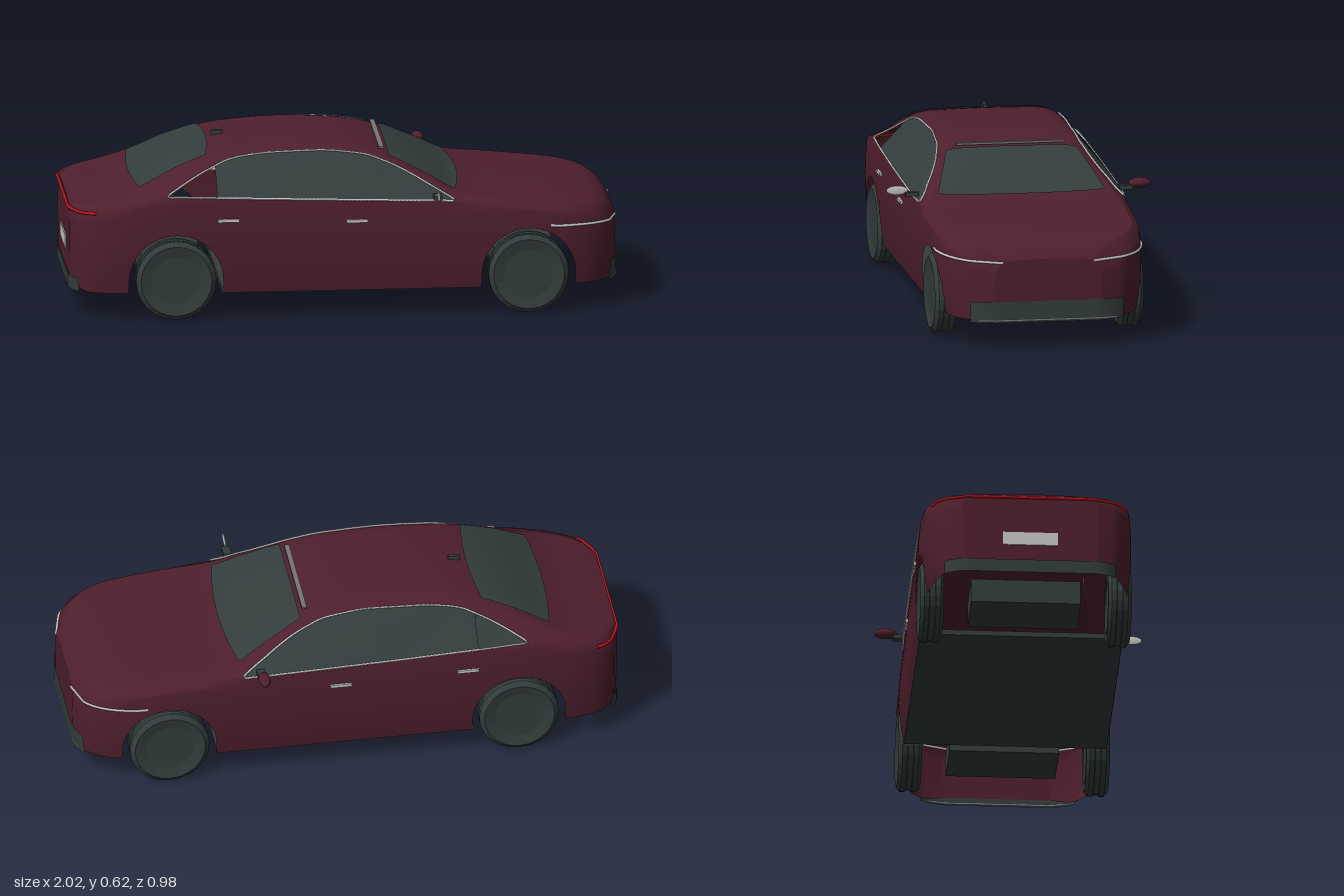
import * as THREE from 'three';

const mat = (name, color) => {
  const m = new THREE.MeshStandardMaterial({ color, side: THREE.DoubleSide });
  m.name = name;
  return m;
};
const V = (x, y, z) => new THREE.Vector3(x, y, z);
const lerp = THREE.MathUtils.lerp, clamp = THREE.MathUtils.clamp;

// Smooth curve through [x, value] keys, flat beyond the ends
function curve(keys) {
  const slope = (i) => {
    if (i === 0 || i === keys.length - 1) return null;
    const [a, b, c] = [keys[i - 1], keys[i], keys[i + 1]];
    const s = (b[1] - a[1]) / (b[0] - a[0]), t = (c[1] - b[1]) / (c[0] - b[0]);
    return s * t <= 0 ? 0 : (2 * s * t) / (s + t);
  };
  return (x) => {
    if (x <= keys[0][0]) return keys[0][1];
    if (x >= keys.at(-1)[0]) return keys.at(-1)[1];
    const i = keys.findIndex((k) => k[0] > x) - 1;
    const [x0, y0] = keys[i], [x1, y1] = keys[i + 1], h = x1 - x0, t = (x - x0) / h;
    const d = (y1 - y0) / h, m0 = slope(i) ?? d, m1 = slope(i + 1) ?? d;
    return y0 + h * (t * d + t * (1 - t) * ((1 - t) * (m0 - d) - t * (m1 - d)));
  };
}

// Body outlines along the length of the car
const halfWidth = curve([[-1, .25], [-.985, .3], [-.95, .338], [-.9, .362], [-.8, .382], [-.6, .39], [.4, .39], [.7, .388], [.8, .378], [.87, .36], [.92, .335], [.96, .3], [.985, .26], [1, .2]]);
const top = curve([[-1, .415], [-.95, .428], [-.85, .445], [-.77, .47], [-.6, .553], [-.5, .588], [-.4, .607], [-.2, .62], [0, .61], [.15, .58], [.3, .512], [.42, .452], [.6, .432], [.8, .412], [.9, .398], [.95, .38], [.98, .355], [1, .325]]);
const shoulder = curve([[-1, .385], [-.95, .402], [-.8, .432], [-.65, .453], [-.3, .448], [.15, .438], [.42, .422], [.6, .4], [.8, .38], [.95, .34], [1, .28]]);
const roofWidth = curve([[-1, .22], [-.95, .29], [-.8, .32], [-.65, .29], [-.5, .272], [-.3, .268], [.15, .278], [.42, .34], [.6, .35], [.8, .34], [.9, .3], [1, .17]]);
const base = curve([[-1, .14], [-.97, .112], [-.93, .1], [.97, .1], [1, .12]]);
const winLow = curve([[-.65, .461], [.4, .427]]);
const winHigh = curve([[-.65, .464], [-.5, .54], [-.4, .578], [-.25, .594], [-.1, .597], [.06, .583], [.16, .552], [.4, .43]]);
const AXLES = [-.62, .67], ARCH = .172, WHEEL_Y = .147;

// Half cross-section at x as [y, z], from the sill up to the centre line
function section(x) {
  const W = halfWidth(x), T = top(x), S = shoulder(x), R = roofWidth(x), B = base(x);
  let low = B;
  for (const c of AXLES) {
    const d = Math.abs(x - c);
    if (d <= ARCH + 1e-6) low = WHEEL_Y + Math.sqrt(Math.max(0, ARCH * ARCH - d * d));
  }
  const pts = [];
  for (let i = 0; i <= 8; i++) {
    const y = lerp(low, S, i / 8), t = (y - B) / (S - B);
    pts.push([y, W * (1 - .05 * (1 - t) ** 3 - .025 * t ** 4)]);
  }
  const z0 = W * .975, y1 = S + .78 * (T - S);
  const f0 = clamp((winLow(x) - S) / (y1 - S), .03, .85);
  const f1 = clamp((winHigh(x) - S) / (y1 - S), f0 + .02, .97);
  for (const f of [f0, f1, 1]) pts.push([lerp(S, y1, f), lerp(z0, R, f)]);
  const yc = T - .005, zc = R - .022, zr = R * .68;
  for (let i = 1; i <= 6; i++) {
    const t = i / 6, a = (1 - t) ** 2, b = 2 * t * (1 - t), c = t * t;
    pts.push([a * y1 + b * yc + c * (T - .003), a * R + b * zc + c * zr]);
  }
  for (let i = 1; i <= 4; i++) pts.push([T - .003 * (1 - i / 4) ** 2, zr * (1 - i / 4)]);
  return pts;
}
// Surface look-ups
function sideZ(x, y) {
  const p = section(x);
  if (y <= p[0][0]) return p[0][1];
  const i = p.findIndex((q) => q[0] >= y);
  if (i < 0) return 0;
  return lerp(p[i - 1][1], p[i][1], (y - p[i - 1][0]) / (p[i][0] - p[i - 1][0]));
}
function topY(x, z) {
  const p = section(x);
  for (let i = p.length - 1; i > 0; i--) {
    if (p[i - 1][1] >= z) return lerp(p[i][0], p[i - 1][0], (z - p[i][1]) / (p[i - 1][1] - p[i][1]));
  }
  return p[0][0];
}
function endX(z, y, dir) {
  let a = .6 * dir, b = dir;
  if (sideZ(b, y) >= Math.abs(z)) return b;
  for (let i = 0; i < 24; i++) {
    const m = (a + b) / 2;
    if (sideZ(m, y) >= Math.abs(z)) a = m; else b = m;
  }
  return a;
}

// Grid surface from a rule f(i, j); skip() leaves openings
function grid(nu, nv, f, skip = () => false) {
  const pos = [], idx = [], n = nv + 1;
  for (let i = 0; i <= nu; i++) for (let j = 0; j <= nv; j++) pos.push(...f(i, j).toArray());
  for (let i = 0; i < nu; i++) for (let j = 0; j < nv; j++) {
    if (skip(i, j)) continue;
    const a = i * n + j, b = a + n;
    idx.push(a, b, a + 1, b, b + 1, a + 1);
  }
  const g = new THREE.BufferGeometry();
  g.setAttribute('position', new THREE.Float32BufferAttribute(pos, 3));
  g.setIndex(idx);
  g.computeVertexNormals();
  return g;
}

export function createModel() {
  const car = new THREE.Group();
  car.name = 'car';
  const paint = mat('maroon paint', 0x4f1f2d), dark = mat('dark glass and rubber', 0x343d3d);
  const chrome = mat('light trim', 0xc8c8c8), red = mat('tail light red', 0xc01420), grey = mat('grey strip', 0x777474);
  const add = (name, geo, m, x = 0, y = 0, z = 0) => {
    const mesh = new THREE.Mesh(geo, m);
    mesh.name = name;
    mesh.position.set(x, y, z);
    car.add(mesh);
    return mesh;
  };
  const box = (name, m, w, h, d, x, y, z) => add(name, new THREE.BoxGeometry(w, h, d), m, x, y, z);
  const tube = (name, m, pts, r, closed = false) =>
    add(name, new THREE.TubeGeometry(new THREE.CatmullRomCurve3(pts, closed, 'centripetal'), pts.length * 3, r, 5, closed), m);

  // Body shell with wheel arches and open rear quarter windows
  const xs = [-.64, -.47];
  for (let i = 0; i <= 70; i++) xs.push(-Math.cos(i / 70 * Math.PI) * .35 + (i / 70 * 2 - 1) * .65);
  for (const c of AXLES) {
    for (let i = 0; i <= 20; i++) xs.push(c - ARCH * Math.cos(i / 20 * Math.PI));
    xs.push(c - ARCH - .0008, c + ARCH + .0008);
  }
  xs.sort((a, b) => a - b);
  const rings = xs.map((x) => {
    const h = section(x);
    return [...h, ...h.slice(0, -1).reverse().map(([y, z]) => [y, -z])].map(([y, z]) => V(x, y, z));
  });
  const last = rings[0].length - 1;
  add('bodyShell', grid(xs.length - 1, last, (i, j) => rings[i][j], (i, j) =>
    xs[i] > -.641 && xs[i + 1] < -.469 && (j === 9 || j === last - 10)), paint);
  for (const dir of [-1, 1]) {
    const p = section(dir);
    add(dir > 0 ? 'nosePanel' : 'tailPanel', grid(1, p.length - 1, (i, j) =>
      V(dir, p[j][0], p[j][1] * (1 - 2 * i) * dir)), paint);
  }

  // Windscreen and rear window follow the roof surface
  const topGlass = (name, x0, x1, z0, z1, bow0, bow1) => add(name, grid(14, 24, (i, j) => {
    const u = i / 14, s = 1 - j / 12, z = s * lerp(z0, z1, u);
    const x = lerp(x0 - bow0 * s * s, x1 - bow1 * s * s, u);
    return V(x + .002 * Math.sign(x1), topY(x, Math.abs(z)) + .005, z);
  }), dark);
  topGlass('windscreen', .165, .432, .24, .31, 0, .03);
  topGlass('rearWindow', -.765, -.48, .28, .235, -.02, .02);
  box('windscreenHeader', grey, .018, .008, .4, .145, .588, 0);
  box('roofAntenna', dark, .045, .018, .012, -.44, .608, 0);

  for (const s of [1, -1]) {
    const side = s > 0 ? 'left' : 'right';
    const onSide = (x, y, out) => V(x, y + out * .4, s * (sideZ(x, y) + out));
    // Side window and its bright frame
    add(side + 'SideWindow', grid(40, 8, (i, j) => {
      const x = lerp(-.47, .395, i / 40);
      return onSide(x, lerp(winLow(x), winHigh(x), j / 8), .004);
    }), dark);
    const frame = [];
    for (let i = 0; i <= 24; i++) { const x = lerp(-.65, .4, i / 24); frame.push(onSide(x, winLow(x), .004)); }
    for (let i = 23; i >= 1; i--) { const x = lerp(-.65, .4, i / 24); frame.push(onSide(x, winHigh(x), .004)); }
    tube(side + 'WindowFrame', chrome, frame, .004, true);
    // Door handles
    for (const [x, y] of [[.04, .362], [-.43, .373]]) {
      box(side + 'DoorHandle', chrome, .078, .011, .01, x, y, s * (sideZ(x, y) + .003));
    }
    // Headlight strip wrapping the corner
    const lamp = [];
    for (let i = 0; i <= 20; i++) {
      const z = lerp(.165, .376, i / 20), y = lerp(.313, .325, i / 20);
      lamp.push(V(endX(z, y, 1) + .002, y, s * (z + .002)));
    }
    lamp.push(onSide(.75, .327, .001));
    tube(side + 'HeadlightStrip', chrome, lamp, .005);
    box(side + 'MirrorMount', dark, .03, .014, .05, .335, .447, s * .395);
    // Wheels
    for (const c of AXLES) {
      const profile = [[0, .036], [.09, .036], [.1, .042], [.108, .036], [.13, .042], [.147, .03], [.147, .012], [.142, .01], [.142, -.01], [.147, -.012], [.147, -.03], [.13, -.044], [.09, -.036], [0, -.036]];
      const geo = new THREE.LatheGeometry(profile.map(([r, h]) => new THREE.Vector2(r, -h)), 24).toNonIndexed();
      geo.computeVertexNormals();
      add(side + (c > 0 ? 'FrontWheel' : 'RearWheel'), geo, dark, c, WHEEL_Y, s * .342).rotation.x = s * Math.PI / 2;
    }
  }
  // Mirrors: a full shell on the right, a bare mirror plate on the left
  add('rightMirror', new THREE.SphereGeometry(1, 20, 12), paint, .332, .461, -.447).scale.set(.022, .019, .042);
  add('leftMirrorPlate', new THREE.SphereGeometry(1, 20, 12), chrome, .335, .461, .449).scale.set(.004, .017, .04);

  // Bumper inserts, lower front trim, tail light and plate
  const insert = (name, dir, y0, y1, w) => add(name, grid(30, 3, (i, j) => {
    const z = w * (1 - i / 15), y = lerp(y0, y1, j / 3);
    return V(endX(z, Math.max(y, .1), dir) + dir * .005, y, z * 1.01);
  }), dark);
  insert('frontGrille', 1, .092, .17, .28);
  insert('rearBumperInsert', -1, .1, .15, .31);
  const across = (y, w, dir, n = 30) => Array.from({ length: n + 1 }, (_, i) => {
    const z = w * (1 - 2 * i / n);
    return V(endX(z, y, dir) + dir * .004, y, z * 1.008);
  });
  tube('frontLowerTrim', chrome, across(.1, .25, 1), .003);
  tube('tailLight', red, across(.4, .352, -1, 40), .006);
  box('numberPlate', chrome, .006, .05, .2, -1.001, .235, 0);

  // Underside
  box('floor', dark, .95, .02, .74, .022, .108, 0);
  for (const c of AXLES) box('subframe', dark, .22, .09, .4, c, .15, 0);
  return car;
}
